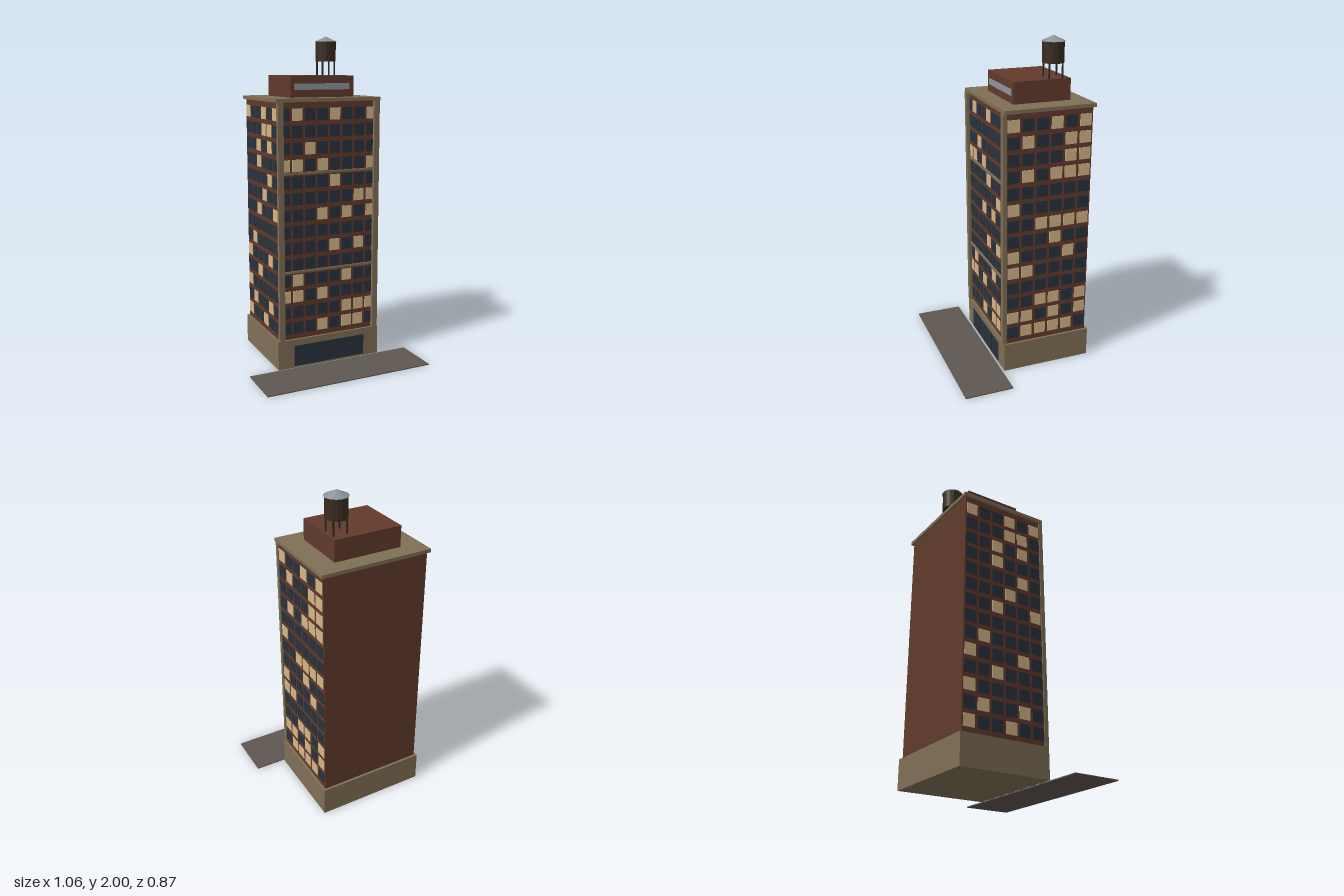
import * as THREE from 'three';
import { mergeGeometries } from 'three/addons/utils/BufferGeometryUtils.js';

const mat = (name, color, flatShading = false) => {
  const m = new THREE.MeshStandardMaterial({ color, flatShading });
  m.name = name;
  return m;
};

export function createModel() {
  const model = new THREE.Group();
  model.name = 'officeTower';

  const brick = mat('brick', 0x613a2c);
  const stone = mat('stone', 0x7f6f55);
  const glass = mat('darkGlass', 0x27323c);
  const lit = mat('litWindow', 0xd4b688);
  const paving = mat('paving', 0x5f5650);
  const wood = mat('tankWood', 0x3a2c20, true);
  const steel = mat('darkSteel', 0x2a2a2c);
  const metal = mat('paleMetal', 0x8c959c, true);

  const add = (name, geometry, material, parent = model) => {
    const mesh = new THREE.Mesh(geometry, material);
    mesh.name = name;
    parent.add(mesh);
    return mesh;
  };
  // Box given by its minimum and maximum on each axis
  const boxGeo = (x0, x1, y0, y1, z0, z1) =>
    new THREE.BoxGeometry(x1 - x0, y1 - y0, z1 - z0)
      .translate((x0 + x1) / 2, (y0 + y1) / 2, (z0 + z1) / 2);
  const box = (name, material, ...b) => add(name, boxGeo(...b), material);

  // Main masses
  const W = 0.3255, FRONT = 0.109, BACK = -0.422, MID = (FRONT + BACK) / 2;
  box('sidewalk', paving, -0.532, 0.532, 0, 0.006, 0.141, 0.437);
  box('base', stone, -0.3405, 0.3405, 0, 0.18, -0.437, 0.124);
  box('shaft', brick, -W, W, 0.18, 1.613, BACK, FRONT);
  box('cornice', stone, -0.3405, 0.3405, 1.613, 1.634, -0.437, 0.124);

  // Front corner piers and belt courses
  for (const s of [-1, 1]) {
    const x = s * 0.3145;
    box(s > 0 ? 'leftPier' : 'rightPier', stone, x - 0.0175, x + 0.0175, 0.18, 1.613, 0.106, 0.131);
  }
  for (const y of [0.6, 1.197])
    box('beltCourse', stone, -0.298, 0.298, y - 0.007, y + 0.007, FRONT - 0.002, 0.119);

  // Entrance glazing with slim mullions
  box('entranceGlass', glass, -0.237, 0.237, 0.012, 0.14, 0.12, 0.129);
  for (let i = -1; i <= 1; i++)
    box('entranceMullion', steel, i * 0.1185 - 0.003, i * 0.1185 + 0.003, 0.012, 0.14, 0.124, 0.131);

  // Window grids: one string per floor from the top, listing the lit columns
  const ROW = 0.0994, FIRST = 0.249;
  const facade = (name, width, columns, floors, x, z, turn) => {
    const group = new THREE.Group();
    group.name = name;
    group.position.set(x, 0, z);
    group.rotation.y = turn;
    const pitch = width / columns;
    const dark = [], bright = [];
    floors.forEach((litColumns, k) => {
      const y = FIRST + (floors.length - 1 - k) * ROW;
      for (let c = 0; c < columns; c++) {
        const pane = new THREE.BoxGeometry(pitch * 0.815, 0.0716, 0.006);
        pane.translate((c - (columns - 1) / 2) * pitch, y, 0);
        (litColumns.includes(String(c)) ? bright : dark).push(pane);
      }
    });
    add('darkWindows', mergeGeometries(dark), glass, group);
    add('litWindows', mergeGeometries(bright), lit, group);
    model.add(group);
  };
  facade('frontWindows', 2 * W, 8,
    ['147', '', '2', '0137', '4', '67', '357', '', '46', '', '15', '013', '567', '356'],
    0, FRONT, 0);
  facade('leftWindows', FRONT - BACK, 6,
    ['035', '145', '45', '1345', '', '0', '2345', '3', '04', '01', '', '235', '0135', '1234'],
    W, MID, Math.PI / 2);
  facade('rightWindows', FRONT - BACK, 6,
    ['035', '34', '24', '2', '4', '3', '25', '', '1', '04', '2', '0', '14', '03'],
    -W, MID, -Math.PI / 2);

  // Rooftop plant room with its louvre
  box('plantRoom', brick, -0.2075, 0.2075, 1.634, 1.761, -0.333, 0.021);
  box('plantLouvre', metal, -0.18, 0.18, 1.679, 1.716, 0.018, 0.025);

  // Water tank on four legs
  const tank = new THREE.Group();
  tank.name = 'waterTank';
  tank.position.set(0.148, 0, -0.246);
  model.add(tank);
  add('tankBarrel', new THREE.CylinderGeometry(0.064, 0.064, 0.125, 16), wood, tank).position.y = 1.9085;
  add('tankRoof', new THREE.ConeGeometry(0.0705, 0.032, 16), metal, tank).position.y = 1.984;
  for (const sx of [-1, 1]) for (const sz of [-1, 1])
    add('tankLeg', new THREE.BoxGeometry(0.008, 0.087, 0.008), steel, tank)
      .position.set(sx * 0.0415, 1.8035, sz * 0.0415);

  return model;
}
